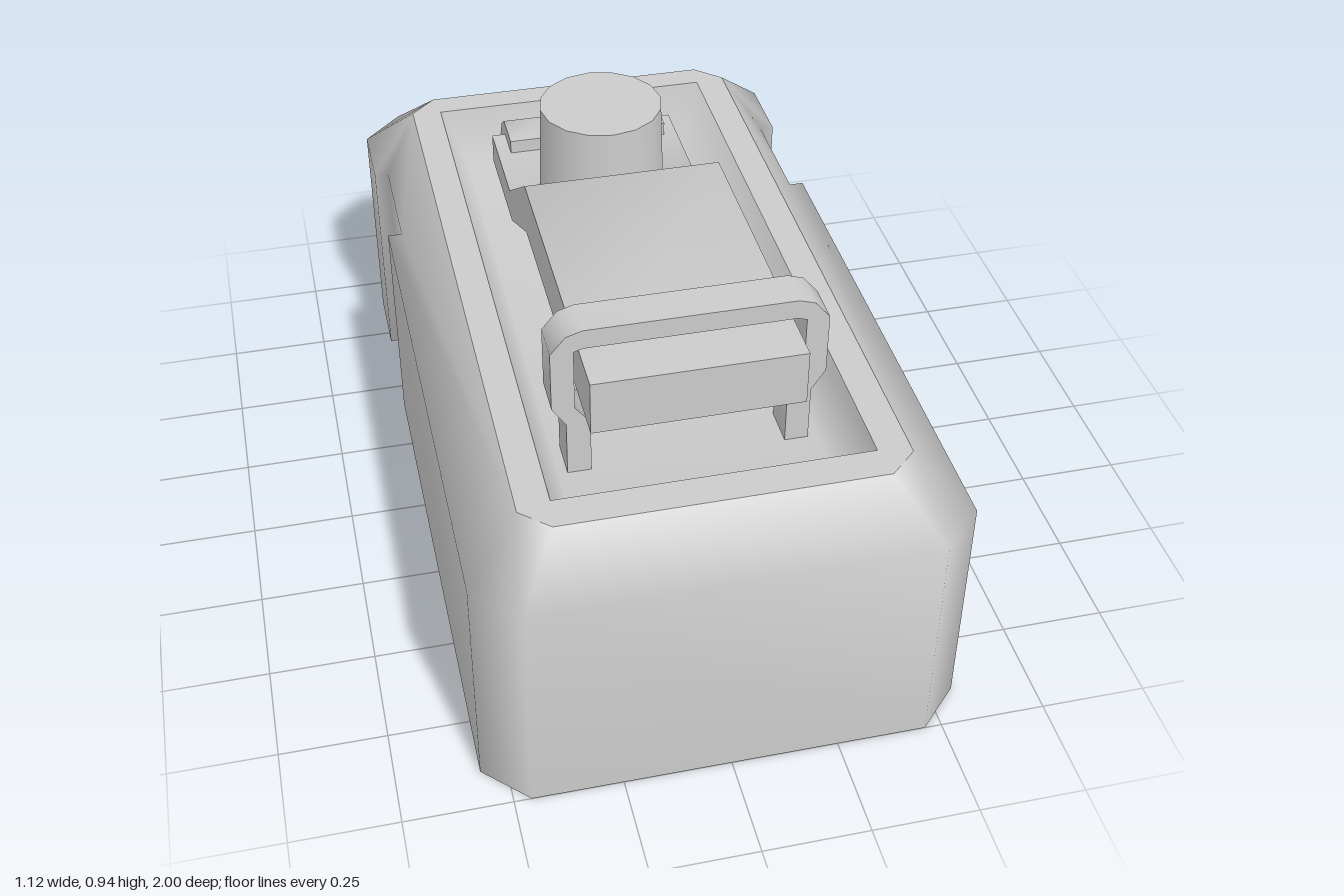
import * as THREE from 'three';
import { mergeVertices, toCreasedNormals } from 'three/addons/utils/BufferGeometryUtils.js';

const material = new THREE.MeshStandardMaterial({ color: 0xcccccc, side: THREE.DoubleSide });

// Skin a stack of closed loops smoothly; each loop is { y, pts: [[x, z], ...] }
function skin(loops) {
  const n = loops[0].pts.length, pos = [], index = [];
  for (const { y, pts } of loops) for (const [x, z] of pts) pos.push(x, y, z);
  for (let r = 0; r < loops.length - 1; r++) {
    for (let i = 0; i < n; i++) {
      const j = (i + 1) % n, a = r * n + i, b = r * n + j;
      // Swap the diagonal on the far half so both sides match
      if (i < n / 2) index.push(a, b, b + n, a, b + n, a + n);
      else index.push(a, b, a + n, b, b + n, a + n);
    }
  }
  const g = new THREE.BufferGeometry();
  g.setAttribute('position', new THREE.Float32BufferAttribute(pos, 3));
  g.setIndex(index);
  const merged = mergeVertices(g);
  merged.computeVertexNormals();
  return merged;
}

// Complete an outline from its +x half, listed front to back
const mirrored = (half) => [...half, ...half.map(([x, z]) => [-x, z]).reverse()];

// Extrude an outline, smoothing its gentle bends and keeping the sides sharp
function extrude(pts, depth) {
  const shape = new THREE.Shape(pts.map(([x, y]) => new THREE.Vector2(x, y)));
  return toCreasedNormals(new THREE.ExtrudeGeometry(shape, { depth, bevelEnabled: false }), 1.1);
}

// Extrude a side profile of [z, y] points across x
const sideExtrude = (pts, width, x = 0) =>
  extrude(pts, width).rotateY(-Math.PI / 2).translate(x + width / 2, 0, 0);

export function createModel() {
  const model = new THREE.Group();
  model.name = 'latchBox';
  const add = (name, geometry) => {
    const mesh = new THREE.Mesh(geometry, material);
    mesh.name = name;
    model.add(mesh);
    return mesh;
  };

  const floorY = 0.55, shoulderY = 0.57, topY = 0.69;

  // Open-bottomed housing with cut corners and side notches that fade into the shoulder
  const wall = mirrored([[0.46, 1], [0.56, 0.9], [0.56, -0.42], [0.525, -0.42],
    [0.525, -0.71], [0.56, -0.71], [0.56, -0.9], [0.46, -1]]);
  const front = [0.435, 0.81], back = [0.435, -0.81];
  const rim = mirrored([[0.37, 0.87], front, front, front, back, back, back, [0.37, -0.87]]);
  add('housing', skin([{ y: 0, pts: wall }, { y: shoulderY, pts: wall }, { y: topY, pts: rim }]));

  // Flat rim around the recess
  const rimEdge = mirrored([[0.37, 0.87], front, back, [0.37, -0.87]]);
  const lip = mirrored([[0.36, 0.79], [0.36, 0.79], [0.36, -0.8], [0.36, -0.8]]);
  add('rim', skin([{ y: topY, pts: rimEdge }, { y: topY, pts: lip }]));

  // Recess with walls leaning in to its floor
  const floor = mirrored([[0.3, 0.72], [0.3, -0.73]]);
  add('recess', skin([{ y: topY, pts: mirrored([[0.36, 0.79], [0.36, -0.8]]) },
    { y: floorY, pts: floor }, { y: floorY, pts: floor.map(() => [0, 0]) }]));

  // Cranked lever arm lying in the recess
  add('lever', sideExtrude([[0.645, 0.73], [0.645, 0.865], [-0.13, 0.865], [-0.38, 0.69],
    [-0.65, 0.69], [-0.65, 0.61], [-0.36, 0.61], [-0.13, 0.73]], 0.485));

  // Round pivot button
  const button = add('pivotButton', new THREE.CylinderGeometry(0.155, 0.163, 0.265, 16));
  button.position.set(0, 0.7825, -0.385);

  // Bail loop over the lever, with feet pinched inward
  const outer = [[0.28, floorY], [0.28, 0.69], [0.312, 0.74], [0.312, 0.89], [0.277, 0.933], [0.24, 0.945]];
  const inner = [[0.225, floorY], [0.225, 0.69], [0.26, 0.735], [0.26, 0.89], [0.24, 0.897]];
  const flip = (pts) => pts.map(([x, y]) => [-x, y]);
  add('bail', extrude([...outer, ...flip(outer).reverse(), ...flip(inner), ...inner.slice().reverse()],
    0.095).translate(0, 0, 0.465));

  // Pair of bent hinge straps
  for (const side of [-1, 1]) {
    add(side > 0 ? 'leftHingeStrap' : 'rightHingeStrap', sideExtrude([
      [-0.555, 0.685], [-0.555, 0.725], [-0.66, 0.725], [-0.70, 0.695], [-0.745, 0.62],
      [-0.79, 0.61], [-0.79, 0.575], [-0.72, 0.575], [-0.675, 0.665], [-0.645, 0.685],
    ], 0.1, side * 0.158));
  }

  return model;
}
